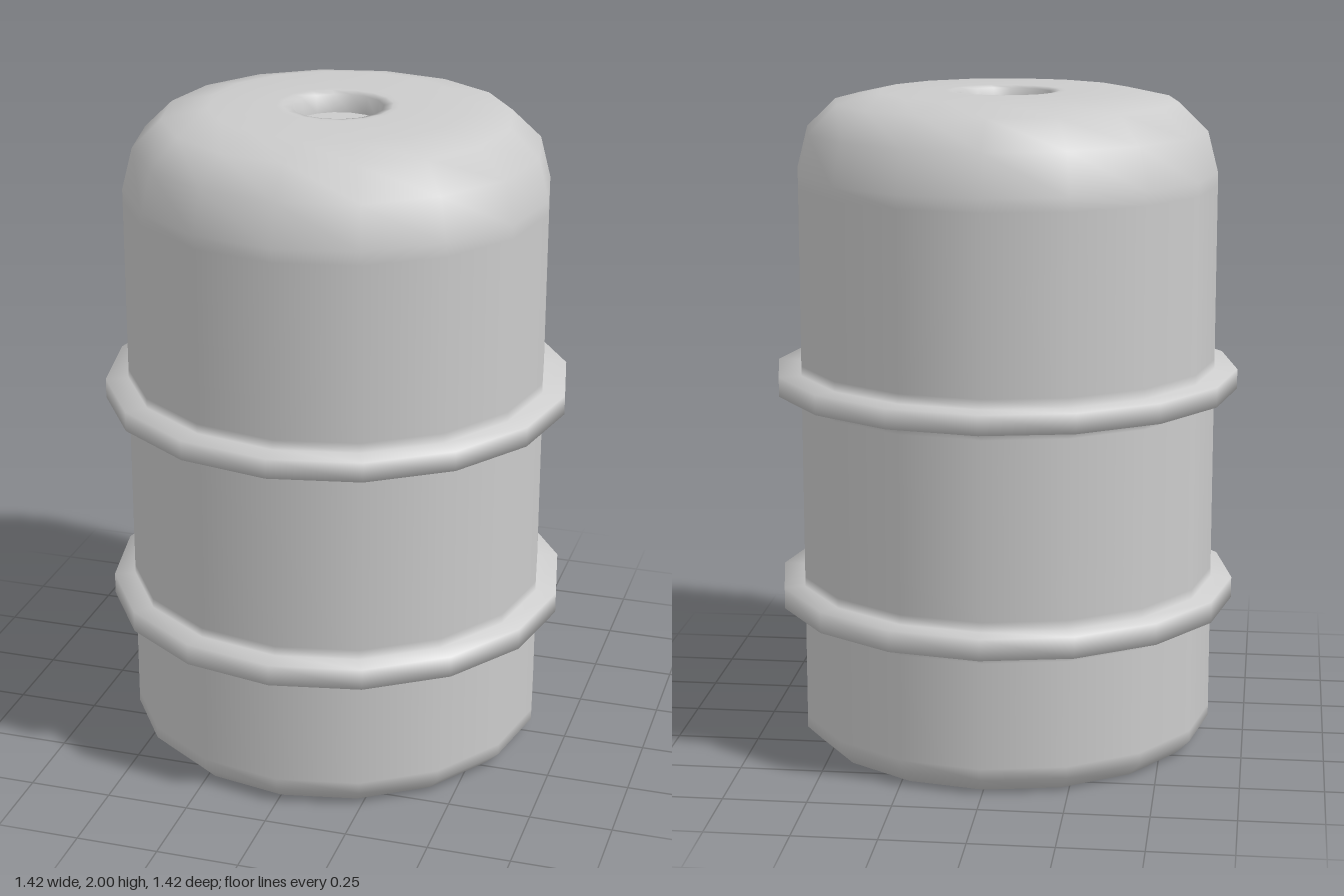
import * as THREE from 'three';

const SIDES = 16;
const R = 0.64; // drum radius

export function createModel() {
  const group = new THREE.Group();
  const material = new THREE.MeshStandardMaterial({ color: 0xcccccc });

  // Turn a [radius, height] profile, listed from the bottom up and in to the top centre
  const turn = (name, profile) => {
    const points = profile.map(([r, y]) => new THREE.Vector2(r, y));
    const mesh = new THREE.Mesh(new THREE.LatheGeometry(points, SIDES), material);
    mesh.name = name;
    group.add(mesh);
  };

  // Protruding hoop with narrow bands of wall that blend its shading into the drum
  const hoop = (name, y0, y1, r) => turn(name, [
    [R, y0 - 0.03], [R, y0], [r, y0], [r, y1], [R, y1], [R, y1 + 0.03],
  ]);

  // Bottom with chamfered edge, then the walls between the hoops
  turn('base', [[0, 0], [0.57, 0], [0.595, 0], [R, 0.045], [R, 0.08], [R, 0.405]]);
  hoop('lowerHoop', 0.435, 0.5, 0.705);
  turn('middleWall', [[R, 0.53], [R, 1.07]]);
  hoop('upperHoop', 1.1, 1.16, 0.71);
  turn('upperWall', [[R, 1.19], [R, 1.72]]);

  // Rounded shoulder running into the flat top
  turn('domedTop', [
    [R, 1.72], [R, 1.76], [0.608, 1.885], [0.52, 1.97], [0.385, 2], [0.18, 2],
  ]);

  // Shallow filler hole with a soft rim
  turn('fillerRim', [[0.18, 2], [0.165, 2], [0.137, 1.994], [0.131, 1.94]]);
  turn('fillerFloor', [[0.131, 1.94], [0, 1.94]]);

  return group;
}
